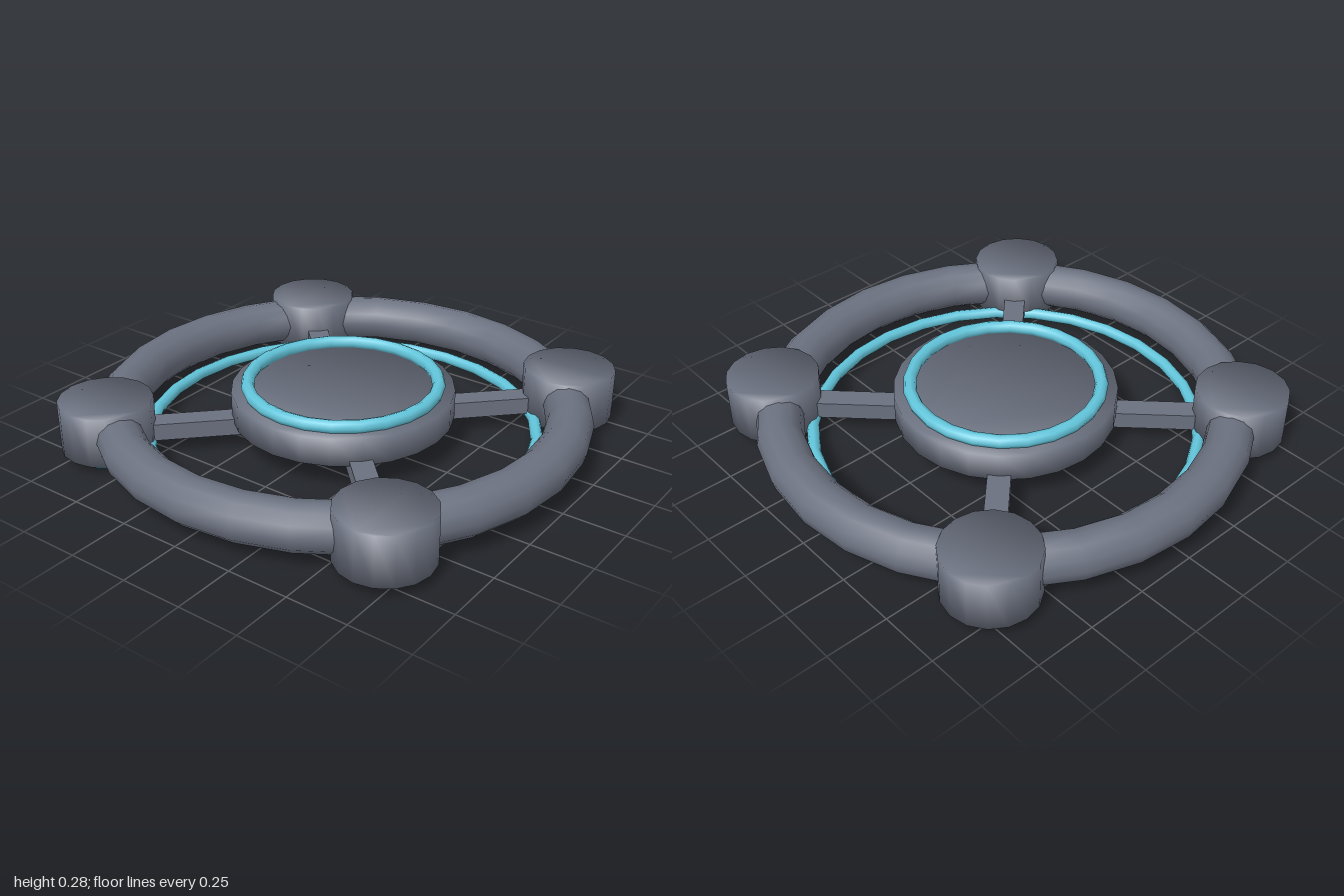
import * as THREE from 'three';

const frameGrey = new THREE.MeshStandardMaterial({ color: 0x6b7180 });
frameGrey.name = 'frame grey';
const glowCyan = new THREE.MeshStandardMaterial({ color: 0x63c6dc });
glowCyan.name = 'light cyan';

// Horizontal ring at height y
function ring(name, radius, tube, y, tubeSides, segments, material) {
  const geo = new THREE.TorusGeometry(radius, tube, tubeSides, segments);
  geo.rotateX(-Math.PI / 2);
  const mesh = new THREE.Mesh(geo, material);
  mesh.name = name;
  mesh.position.y = y;
  return mesh;
}

// Upright disc whose normals blend softly from the caps into the side
function softDisc(name, radius, y0, y1, sides, material) {
  const points = [];
  for (let i = 0; i < sides; i++) {
    const a = (i / sides) * Math.PI * 2;
    points.push(new THREE.Vector2(Math.cos(a) * radius, Math.sin(a) * radius));
  }
  const height = y1 - y0;
  const geo = new THREE.ExtrudeGeometry(new THREE.Shape(points), {
    depth: height, bevelEnabled: false, steps: 1,
  });
  geo.rotateX(-Math.PI / 2);
  const p = geo.attributes.position;
  const n = new THREE.Vector3();
  for (let i = 0; i < p.count; i++) {
    const up = p.getY(i) > height / 2 ? 1 : -1;
    n.set(p.getX(i), up * radius * 0.8, p.getZ(i)).normalize();
    geo.attributes.normal.setXYZ(i, n.x, n.y, n.z);
  }
  const mesh = new THREE.Mesh(geo, material);
  mesh.name = name;
  mesh.position.y = y0;
  return mesh;
}

export function createModel() {
  const model = new THREE.Group();
  model.name = 'ringCraft';

  // Outer frame and the light strip along its lower inside edge
  model.add(ring('outerRing', 0.905, 0.094, 0.142, 12, 28, frameGrey));
  model.add(ring('innerLightRing', 0.782, 0.025, 0.056, 8, 28, glowCyan));

  // Central hub with its light ring
  model.add(softDisc('hub', 0.449, 0.115, 0.23, 24, frameGrey));
  model.add(ring('hubLightRing', 0.383, 0.027, 0.248, 8, 24, glowCyan));

  // Four diagonal arms, each with a spoke, a pod and a glowing foot
  const podDistance = 0.664 * Math.SQRT2;
  for (let i = 0; i < 4; i++) {
    const arm = new THREE.Group();
    arm.name = 'arm' + (i + 1);
    arm.rotation.y = Math.PI / 4 + (i * Math.PI) / 2;

    const spoke = new THREE.Mesh(new THREE.BoxGeometry(0.48, 0.07, 0.09), frameGrey);
    spoke.name = 'spoke';
    spoke.position.set(0.58, 0.1, 0);
    arm.add(spoke);

    const pod = softDisc('pod', 0.187, 0.04, 0.245, 16, frameGrey);
    pod.position.x = podDistance;
    const foot = softDisc('footLight', 0.127, 0, 0.05, 16, glowCyan);
    foot.position.x = podDistance;
    arm.add(pod, foot);
    model.add(arm);
  }
  return model;
}
